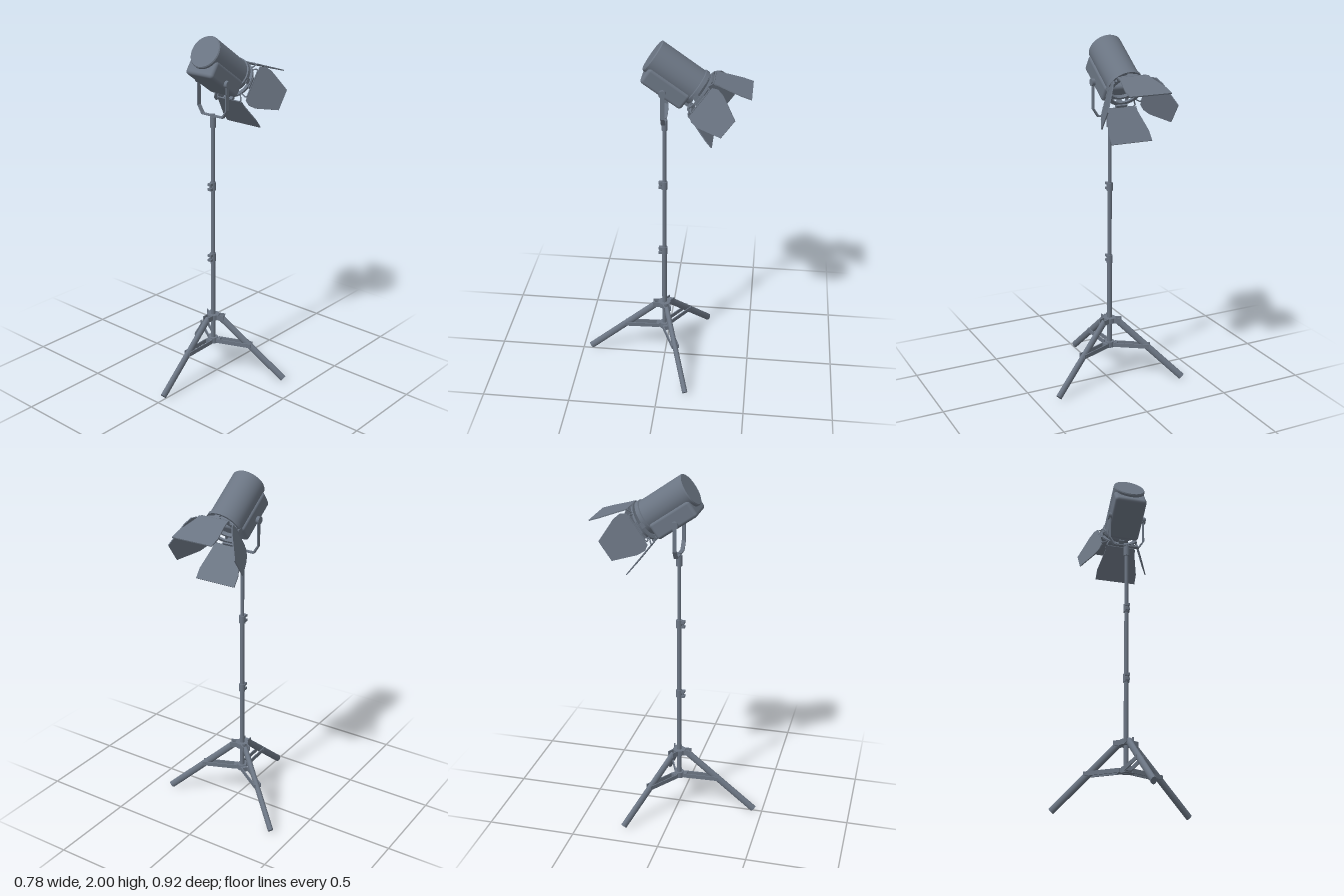
import * as THREE from 'three';
import { toCreasedNormals } from 'three/addons/utils/BufferGeometryUtils.js';
import { RoundedBoxGeometry } from 'three/addons/geometries/RoundedBoxGeometry.js';

const V2 = (x, y) => new THREE.Vector2(x, y);
const V3 = (x, y, z) => new THREE.Vector3(x, y, z);

export function createModel() {
  const model = new THREE.Group();
  model.name = 'studioLamp';
  const metal = new THREE.MeshStandardMaterial({ color: 0x6b7583 });
  metal.name = 'slateGreyMetal';

  const add = (parent, name, geometry, x = 0, y = 0, z = 0) => {
    const mesh = new THREE.Mesh(geometry, metal);
    mesh.name = name;
    mesh.position.set(x, y, z);
    parent.add(mesh);
    return mesh;
  };
  const group = (parent, name, x = 0, y = 0, z = 0) => {
    const g = new THREE.Group();
    g.name = name;
    g.position.set(x, y, z);
    parent.add(g);
    return g;
  };
  const rod = (r, h) => new THREE.CylinderGeometry(r, r, h, 24);
  const box = (w, h, d) => new THREE.BoxGeometry(w, h, d);
  // Profile of (radius, distance) pairs turned around the z axis
  const turned = (points) => toCreasedNormals(
    new THREE.LatheGeometry(points.map((p) => V2(...p)), 48).rotateX(Math.PI / 2), 0.6);

  const stand = group(model, 'stand', -0.025, 0, 0.005);

  // Telescopic pole: [radius, bottom, top]
  [[0.0135, 0.18, 0.74], [0.012, 0.7, 1.17], [0.0105, 1.12, 1.53]].forEach(([r, a, b]) =>
    add(stand, 'poleSection', rod(r, b - a), 0, (a + b) / 2, 0));
  add(stand, 'spigot', rod(0.017, 0.06), 0, 1.525, 0);
  add(stand, 'spigotNeck', rod(0.012, 0.02), 0, 1.56, 0);

  // Pole clamps with two lugs and a screw
  for (const y of [0.727, 1.155]) {
    const clamp = group(stand, 'poleClamp', 0, y, 0);
    add(clamp, 'clampSleeve', rod(0.0175, 0.046));
    for (const s of [-1, 1]) add(clamp, 'clampLug', box(0.024, 0.014, 0.03), 0, s * 0.014, 0.018);
    add(clamp, 'clampScrew', rod(0.005, 0.03), 0, 0, 0.022);
  }

  // Tripod hub and sliding collar
  add(stand, 'tripodHub', rod(0.036, 0.03), 0, 0.352, 0);
  add(stand, 'slidingCollar', rod(0.028, 0.034), 0, 0.2, 0);

  // Legs with paired spreader plates, aimed at each foot
  for (const [x, z] of [[0.018, 0.445], [-0.35, -0.24], [0.4, -0.163]]) {
    const reach = Math.hypot(x, z);
    const leg = group(stand, 'tripodLeg');
    leg.rotation.y = Math.atan2(x, z);
    const top = V3(0, 0.35, 0.045), foot = V3(0, 0.016, reach);
    const length = top.distanceTo(foot);
    const mid = top.clone().add(foot).multiplyScalar(0.5);
    const tube = add(leg, 'legTube', rod(1, length), mid.x, mid.y, mid.z);
    tube.scale.set(0.015, 1, 0.02);
    tube.rotation.x = Math.atan2(foot.z - top.z, foot.y - top.y);
    add(leg, 'collarLug', box(0.03, 0.026, 0.03), 0, 0.2, 0.032);
    for (const s of [-1, 1]) {
      add(leg, 'hubLug', box(0.006, 0.03, 0.045), s * 0.018, 0.352, 0.045);
      add(leg, 'spreaderPlate', box(0.006, 0.024, 0.205), s * 0.018, 0.2, 0.1325);
    }
    const pin = add(leg, 'spreaderPin', rod(0.006, 0.044), 0, 0.2, 0.222);
    pin.rotation.z = Math.PI / 2;
  }

  // U-shaped yoke strap with cut lower corners
  const outer = [[0.105, 1.765], [0.105, 1.605], [0.075, 1.558]];
  const inner = [[0.069, 1.565], [0.098, 1.608], [0.098, 1.765]];
  const half = [...outer.map(([x, y]) => V2(-x, y)), ...outer.reverse().map(([x, y]) => V2(x, y))];
  const strap = new THREE.Shape([...half,
    ...[...inner].reverse().map(([x, y]) => V2(x, y)), ...inner.map(([x, y]) => V2(-x, y))]);
  add(stand, 'yoke', new THREE.ExtrudeGeometry(strap, { depth: 0.022, bevelEnabled: false }), 0, 0, -0.011);
  for (const s of [-1, 1]) {
    const knob = add(stand, 'pivotKnob', rod(0.02, 0.02), s * 0.103, 1.75, 0);
    knob.rotation.z = Math.PI / 2;
  }

  // Lamp head: local z runs along the beam, pointing back and down
  const head = group(model, 'lampHead', -0.025, 1.923, 0.069);
  head.rotation.order = 'YXZ';
  head.rotation.set(THREE.MathUtils.degToRad(35), Math.PI, 0);
  add(head, 'lampBarrel', turned([[0, 0], [0.089, 0], [0.0935, 0.006], [0.0935, 0.276],
    [0.1, 0.279], [0.1, 0.3], [0.088, 0.3], [0.085, 0.2], [0, 0.19]]));
  add(head, 'lampHousing', new RoundedBoxGeometry(0.19, 0.1, 0.262, 3, 0.018), 0, -0.08, 0.149);

  // Accessory ring in front of the barrel
  add(head, 'doorRing', turned([[0.09, 0.314], [0.109, 0.314], [0.109, 0.325], [0.09, 0.325], [0.09, 0.314]]), 0, -0.01, 0);

  // Door outlines as (half width, distance from hinge)
  const flared = [[0.09, 0], [0.09, 0.03], [0.12, 0.15], [0.12, 0.208]];
  const tapered = [[0.1, 0], [0.118, 0.03], [0.114, 0.075], [0.062, 0.205]];

  // Four barn doors, each with a bent wire hinge and a clip
  for (let i = 0; i < 4; i++) {
    const side = i % 2 === 1;
    const outline = side ? tapered : flared;
    const splay = THREE.MathUtils.degToRad(side ? 27 : 17);
    const r = side ? 0.112 : 0.115;
    const unit = group(head, side ? 'sideBarnDoor' : 'wideBarnDoor', 0, -0.015, 0.33);
    unit.rotation.z = i * Math.PI / 2;
    const shape = new THREE.Shape([...outline.map(([x, y]) => V2(x, y)),
      ...[...outline].reverse().map(([x, y]) => V2(-x, y))]);
    const plate = new THREE.ExtrudeGeometry(shape, { depth: 0.006, bevelEnabled: false });
    const door = add(unit, 'doorPlate', plate.translate(0, 0, -0.003), 0, r, 0.004);
    door.rotation.x = Math.PI / 2 - splay;
    const path = new THREE.CurvePath();
    const pts = [V3(-0.07, 0.075, -0.01), V3(-0.085, r - 0.006, -0.002), V3(-0.075, r, 0.002),
      V3(0.075, r, 0.002), V3(0.085, r - 0.006, -0.002), V3(0.07, 0.075, -0.01)];
    for (let k = 1; k < pts.length; k++) path.add(new THREE.LineCurve3(pts[k - 1], pts[k]));
    add(unit, 'hingeWire', new THREE.TubeGeometry(path, 40, 0.004, 8, false));
    add(unit, 'hingeClip', box(0.064, 0.018, 0.016), 0, r - 0.009, -0.004);
    const tab = add(unit, 'ringTab', box(0.03, 0.01, 0.03), 0, 0.1, -0.025);
    tab.position.y = side ? 0.096 : 0.1;
  }
  return model;
}
